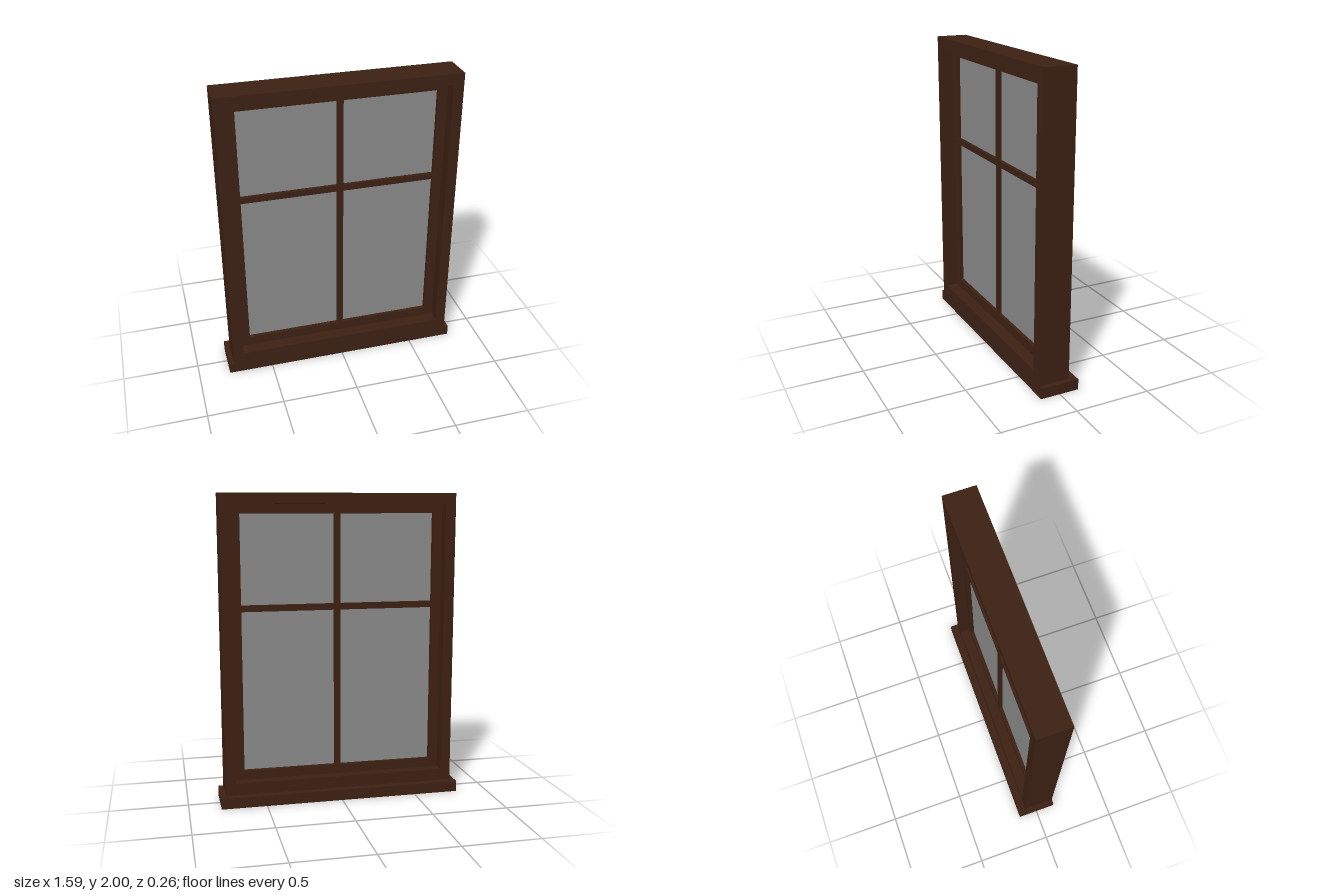
import * as THREE from 'three';

const wood = new THREE.MeshStandardMaterial({ color: 0x3d2013 });
const pane = new THREE.MeshStandardMaterial({ color: 0x8a8a8a });

// Corners of an upright rectangle
function rect(path, x, y0, y1) {
  path.moveTo(-x, y0);
  path.lineTo(x, y0);
  path.lineTo(x, y1);
  path.lineTo(-x, y1);
  path.closePath();
  return path;
}

// Rectangular surround with a rectangular opening, from z0 to z1
function surround(name, outer, inner, z0, z1) {
  const shape = rect(new THREE.Shape(), ...outer);
  shape.holes.push(rect(new THREE.Path(), ...inner));
  const geometry = new THREE.ExtrudeGeometry(shape, { depth: z1 - z0, bevelEnabled: false });
  const mesh = new THREE.Mesh(geometry, wood);
  mesh.name = name;
  mesh.position.z = z0;
  return mesh;
}

// Box given by its limits on each axis
function block(name, [x0, x1], [y0, y1], [z0, z1], material = wood) {
  const mesh = new THREE.Mesh(new THREE.BoxGeometry(x1 - x0, y1 - y0, z1 - z0), material);
  mesh.name = name;
  mesh.position.set((x0 + x1) / 2, (y0 + y1) / 2, (z0 + z1) / 2);
  return mesh;
}

export function createModel() {
  const group = new THREE.Group();
  group.name = 'window';

  // Sill, flush with the frame in front and projecting behind
  group.add(block('sill', [-0.795, 0.795], [0, 0.07], [-0.13, 0.13]));

  // Deep outer frame and the recessed sash inside it
  group.add(surround('frame', [0.763, 0.07, 2], [0.695, 0.148, 1.932], -0.08, 0.13));
  group.add(surround('sash', [0.695, 0.148, 1.932], [0.632, 0.21, 1.872], -0.01, 0.047));

  // Glazing bars: one full-height upright and a crossbar in two halves
  const barDepth = [-0.008, 0.045];
  group.add(block('uprightBar', [-0.012, 0.028], [0.21, 1.872], barDepth));
  group.add(block('crossbarRight', [-0.632, -0.012], [1.255, 1.296], barDepth));
  group.add(block('crossbarLeft', [0.028, 0.632], [1.255, 1.296], barDepth));

  // Glass sheet through the middle of the sash
  group.add(block('glass', [-0.632, 0.632], [0.21, 1.872], [0.014, 0.022], pane));

  return group;
}
